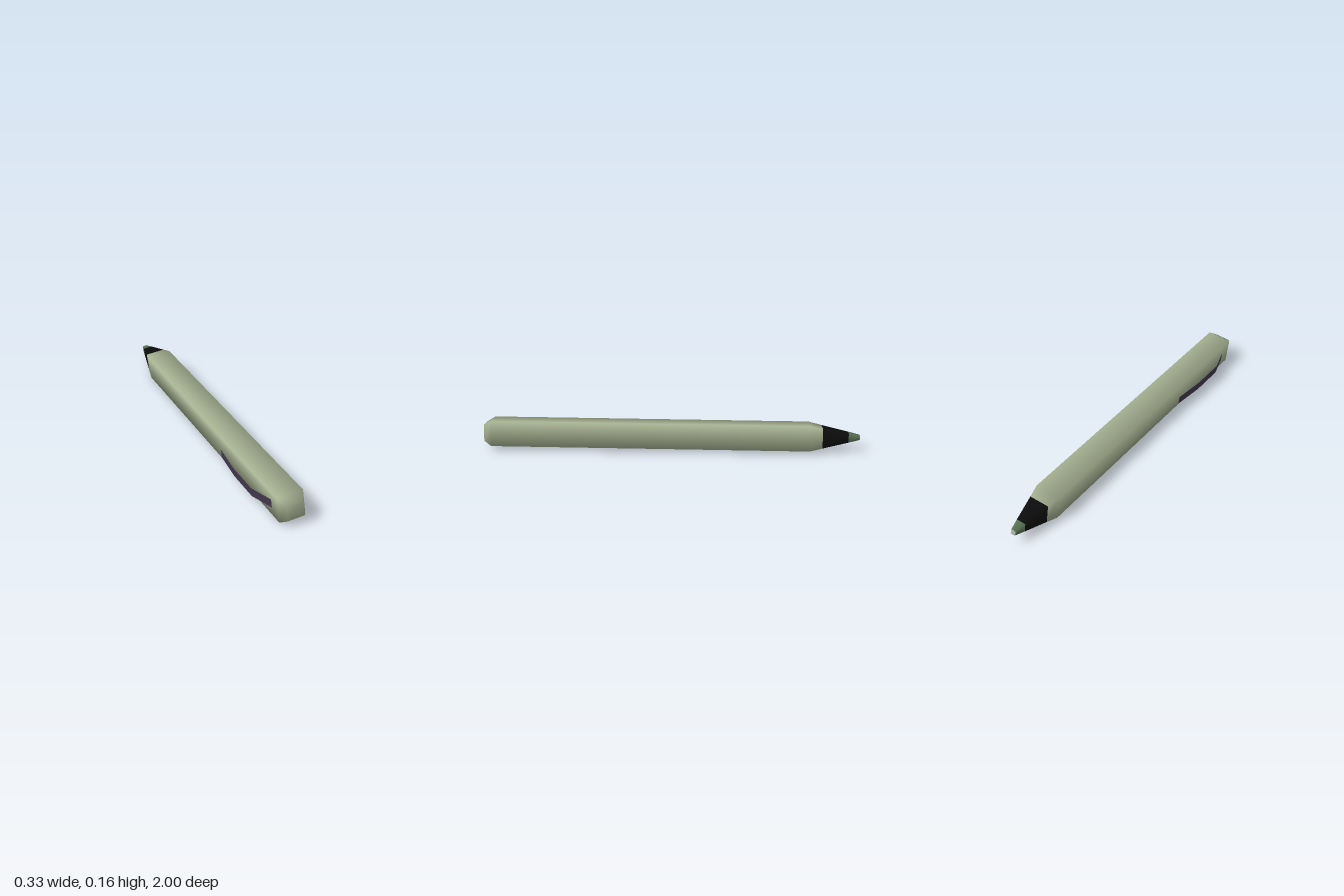
import * as THREE from 'three';

const paint = (name, color, side = THREE.FrontSide) => {
  const m = new THREE.MeshStandardMaterial({ color, side });
  m.name = name;
  return m;
};

export function createModel() {
  const sage = paint('sage green', 0xa8b393);
  const black = paint('black', 0x0d0d0e);
  const green = paint('dark green', 0x5b7756);
  const pale = paint('pale grey', 0xb4bcb0);
  const purple = paint('dark purple', 0x443950, THREE.DoubleSide);

  const pen = new THREE.Group();
  pen.name = 'pen';

  // Four-sided section along z, from [z, half width] pairs running back to front
  const squareTube = (name, material, profile) => {
    const points = profile.map(([z, half]) => new THREE.Vector2(half * Math.SQRT2, z));
    const geometry = new THREE.LatheGeometry(points, 4, Math.PI / 4);
    geometry.rotateX(Math.PI / 2);
    const mesh = new THREE.Mesh(geometry, material);
    mesh.name = name;
    pen.add(mesh);
  };

  // Barrel with softened front end and tapering shoulder
  squareTube('barrel', sage, [[-0.803, 0.053], [-0.735, 0.0675], [0.96, 0.0675], [1.0015, 0.044], [1.0015, 0]]);
  // Tapered nose: collar, nib and small flat end
  squareTube('collar', black, [[-0.942, 0.025], [-0.803, 0.053]]);
  squareTube('nib', green, [[-1.0, 0.0125], [-0.942, 0.025]]);
  squareTube('nibEnd', pale, [[-1.004, 0], [-1.004, 0.0115], [-1.0, 0.0125]]);

  // Thin clip bowed out from the right side of the barrel
  const path = [[-0.067, 0.893], [-0.107, 0.755], [-0.107, 0.555], [-0.09, 0.365]];
  const strip = new THREE.PlaneGeometry(1, 0.046, path.length - 1, 1);
  const pos = strip.attributes.position;
  for (let i = 0; i < pos.count; i++) {
    const [x, z] = path[path.length - 1 - (i % path.length)];
    pos.setXYZ(i, x, pos.getY(i), z);
  }
  strip.computeVertexNormals();
  const clip = new THREE.Mesh(strip, purple);
  clip.name = 'clip';
  pen.add(clip);

  // Resting pose: slight yaw and roll
  pen.rotation.set(-0.0036, 0.105, 0.13, 'YXZ');
  pen.position.set(-0.011, 0.079, 0);

  const model = new THREE.Group();
  model.name = 'model';
  model.add(pen);
  return model;
}
